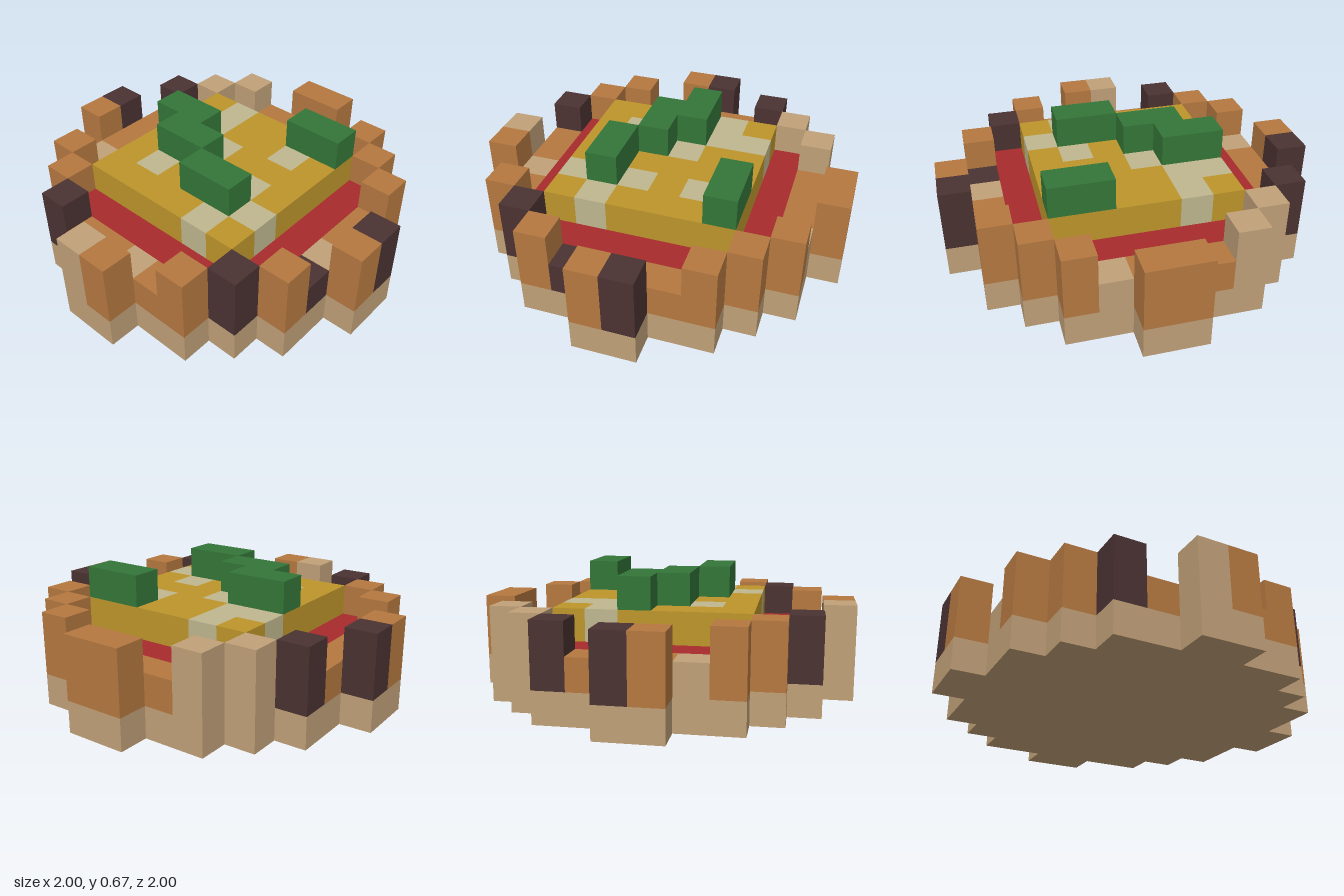
import * as THREE from 'three';
import { mergeGeometries } from 'three/addons/utils/BufferGeometryUtils.js';

const N = 12, U = 2 / N;

const mat = (name, color) => Object.assign(new THREE.MeshStandardMaterial({ color }), { name });
const materials = {
  t: mat('pale dough', 0xc0a078),
  o: mat('baked crust', 0xb57840),
  d: mat('charred crust', 0x4b3232),
  r: mat('tomato sauce', 0xa82b2c),
  g: mat('golden cheese', 0xbd952b),
  p: mat('white cheese', 0xbfb78f),
  v: mat('green pepper', 0x347638),
};

// Seen from above: rows run back to front, columns run from -x to +x
const lower = [
  '.....oo.....',
  '...toooto...',
  '..trrrrrro..',
  '.drrrrrrrro.',
  '.orrrrrrrro.',
  'dorrrrrrrrod',
  'oorrrrrrrrto',
  '.trrrrrrrrd.',
  '.orrrrrrrro.',
  '..orrrrrrd..',
  '...dootoo...',
  '.....to.....',
];
const upper = [
  '.....oo.....',
  '...t....o...',
  '..t......o..',
  '.d.gpgggg.o.',
  '...ppggpg...',
  'd..ggpggg..d',
  'o..ggggpg..o',
  '...gpgggp...',
  '.o.ggggpg.o.',
  '..o......d..',
  '...d....o...',
  '.....to.....',
];
const topping = [
  '............',
  '............',
  '............',
  '.......vv...',
  '............',
  '...vv.......',
  '....vv......',
  '......vv....',
  '............',
  '............',
  '............',
  '............',
];
// The base is the same outline in plain dough
const base = lower.map(row => row.replace(/[a-z]/g, 't'));
const layers = [base, lower, upper, topping];

const cellAt = (x, y, z) => {
  const c = layers[y]?.[z]?.[x];
  return c && c !== '.' ? c : null;
};

// One square face template per direction, with its neighbour offset
const faces = [
  [0, 0, 1], [0, 0, -1], [1, 0, 0], [-1, 0, 0], [0, 1, 0], [0, -1, 0],
].map(dir => {
  const geo = new THREE.PlaneGeometry(U, U).translate(0, 0, U / 2);
  if (dir[1]) geo.rotateX(-dir[1] * Math.PI / 2);
  else geo.rotateY(Math.atan2(dir[0], dir[2]));
  return { dir, geo };
});

// Joins the exposed faces of every cell of one colour in one layer
function blocks(y, key) {
  const parts = [];
  for (let z = 0; z < N; z++) {
    for (let x = 0; x < N; x++) {
      if (cellAt(x, y, z) !== key) continue;
      for (const { dir, geo } of faces) {
        if (cellAt(x + dir[0], y + dir[1], z + dir[2])) continue;
        parts.push(geo.clone().translate((x + 0.5) * U - 1, (y + 0.5) * U, (z + 0.5) * U - 1));
      }
    }
  }
  return parts.length ? mergeGeometries(parts) : null;
}

const partNames = [
  { t: 'doughBase' },
  { t: 'lowerPaleCrust', o: 'lowerCrust', d: 'lowerCharredCrust', r: 'sauceLayer' },
  { t: 'upperPaleCrust', o: 'upperCrust', d: 'upperCharredCrust', g: 'cheeseLayer', p: 'whiteCheesePatches' },
  { v: 'pepperSlices' },
];

export function createModel() {
  const model = new THREE.Group();
  model.name = 'pizza';
  partNames.forEach((names, y) => {
    for (const [key, name] of Object.entries(names)) {
      const geo = blocks(y, key);
      if (!geo) continue;
      const mesh = new THREE.Mesh(geo, materials[key]);
      mesh.name = name;
      model.add(mesh);
    }
  });
  return model;
}
